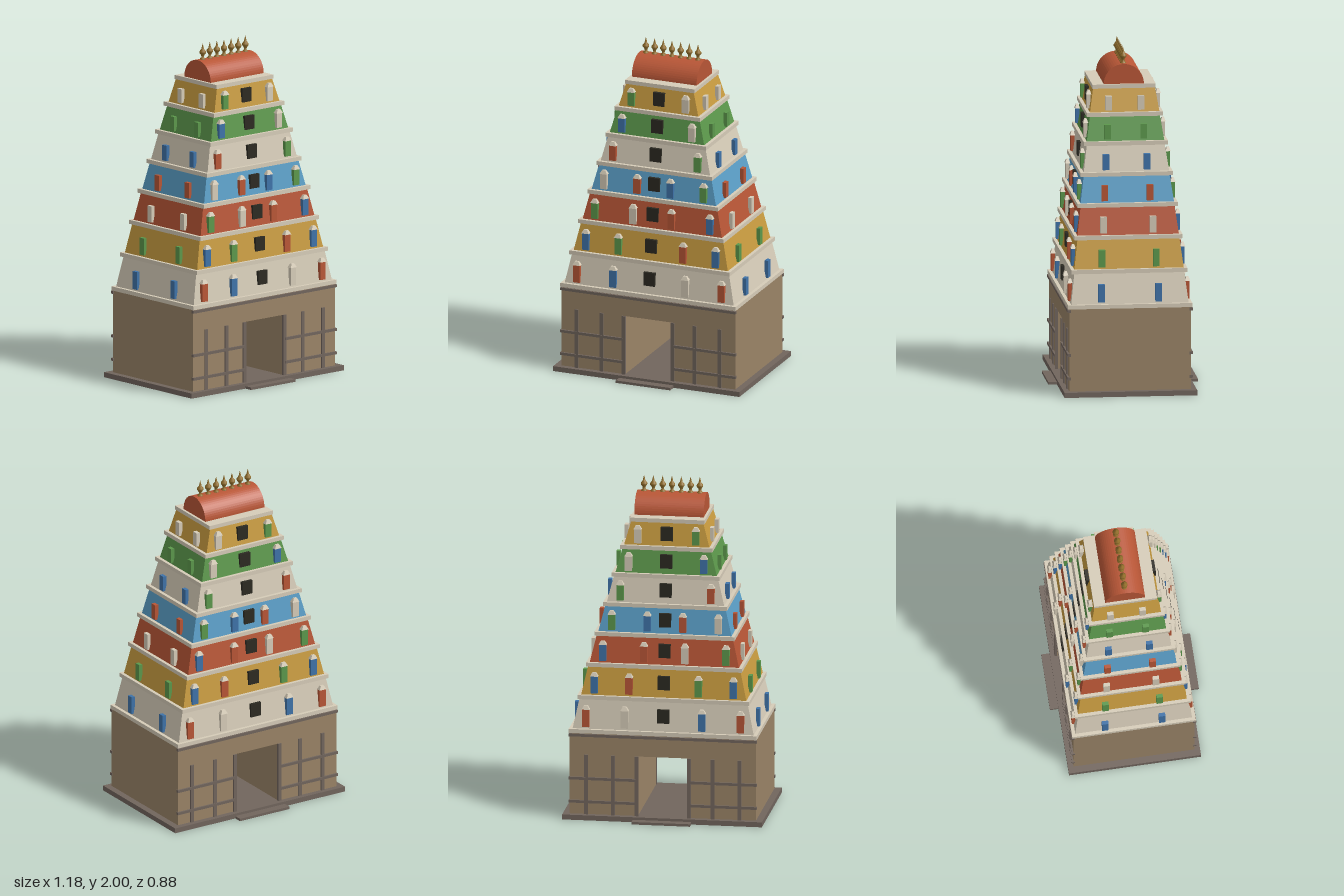
import * as THREE from 'three';

const mat = (name, color, extra = {}) => Object.assign(new THREE.MeshStandardMaterial({ color, ...extra }), { name });

export function createModel() {
  const root = new THREE.Group();
  root.name = 'gatewayTower';
  const M = {
    sandstone: mat('sandstone', 0x9a8467),
    trim: mat('darkTrim', 0x71655d),
    cream: mat('cream', 0xd6ccb8),
    gold: mat('ochre', 0xc99c40),
    red: mat('brickRed', 0xb85636),
    blue: mat('skyBlue', 0x5b9fc8),
    green: mat('leafGreen', 0x5c984c),
    dark: mat('windowDark', 0x2c2a22),
    deepBlue: mat('figureBlue', 0x3f73a9),
    brass: mat('brass', 0x94702c),
  };

  const add = (name, geo, material, x = 0, y = 0, z = 0, parent = root) => {
    const m = new THREE.Mesh(geo, material);
    m.name = name;
    m.position.set(x, y, z);
    parent.add(m);
    return m;
  };
  // Box standing on y = 0
  const slab = (w, h, d) => new THREE.BoxGeometry(w, h, d).translate(0, h / 2, 0);
  // Box standing on y = 0 whose top is scaled to tw x td
  const taper = (w, h, d, tw, td) => {
    const g = slab(w, h, d), p = g.attributes.position;
    for (let i = 0; i < p.count; i++) {
      if (p.getY(i) > h / 2) p.setXYZ(i, p.getX(i) * tw / w, h, p.getZ(i) * td / d);
    }
    g.computeVertexNormals();
    return g;
  };

  // Plinth and door steps
  add('plinth', slab(1.18, 0.03, 0.78), M.trim);
  add('doorStep', slab(0.345, 0.015, 0.88), M.trim);

  // Gate base with a passage running through it
  const wall = new THREE.Shape([
    [-0.55, 0.03], [-0.147, 0.03], [-0.147, 0.39], [0.147, 0.39],
    [0.147, 0.03], [0.55, 0.03], [0.55, 0.521], [-0.55, 0.521],
  ].map(([x, y]) => new THREE.Vector2(x, y)));
  add('gateBase', new THREE.ExtrudeGeometry(wall, { depth: 0.714, bevelEnabled: false }).translate(0, 0, -0.357), M.sandstone);

  // Pilasters, rails and top band on front and back
  for (const sz of [1, -1]) {
    for (const sx of [1, -1]) {
      for (const x of [0.155, 0.295, 0.453]) add('pilaster', slab(0.022, 0.36, 0.016), M.trim, sx * x, 0.03, sz * 0.357);
      for (const y of [0.098, 0.238]) add('rail', slab(0.395, 0.016, 0.02), M.trim, sx * 0.3575, y, sz * 0.358);
    }
    add('topBand', slab(1.11, 0.016, 0.02), M.trim, 0, 0.499, sz * 0.358);
  }

  // Storeys: wall colour, side figure colour and its z, then front figures as [x, colour]
  const levels = [0.543, 0.743, 0.935, 1.118, 1.293, 1.467, 1.63, 1.788];
  const { cream, gold, red, blue, green, deepBlue } = M;
  const tiers = [
    [cream, deepBlue, 0.168, [[-0.457, red], [-0.228, deepBlue], [0.228, cream], [0.457, red]]],
    [gold, green, 0.16, [[-0.411, deepBlue], [-0.205, green], [0.205, red], [0.411, deepBlue]]],
    [red, cream, 0.145, [[-0.364, green], [-0.121, cream], [0.121, red], [0.364, deepBlue]]],
    [blue, red, 0.133, [[-0.315, cream], [-0.105, red], [0.105, deepBlue], [0.315, green]]],
    [cream, deepBlue, 0.121, [[-0.268, red], [0.268, green]]],
    [green, green, 0.107, [[-0.222, deepBlue], [0.222, cream]]],
    [gold, cream, 0.095, [[-0.172, green], [0.172, cream]]],
  ];
  const cornice = (x, z, top) => add('cornice', slab(2 * x, 0.024, 2 * z), cream, 0, top - 0.024, 0);
  const cap = taper(0.047, 0.023, 0.03, 0.022, 0.014);

  tiers.forEach(([wallMat, sideMat, sideZ, figures], i) => {
    const tier = new THREE.Group();
    tier.name = 'storey' + (i + 1);
    root.add(tier);
    const x = 0.535 - 0.0472 * i, z = 0.345 - 0.0235 * i;
    const y = levels[i], step = levels[i + 1] - y, h = step - 0.022;
    cornice(x + 0.02, z + 0.02, y);
    add('storeyWall', taper(2 * x, h, 2 * z, 2 * (x - 0.038), 2 * (z - 0.022)), wallMat, 0, y, 0, tier);

    const figH = step * 0.53, figY = y + 0.012;
    for (const s of [1, -1]) {
      add('window', slab(0.071, 0.082, 0.02), M.dark, 0, y + step * 0.45 - 0.041, s * (z - 0.008), tier);
      for (const [fx, fm] of figures) {
        add('figure', slab(0.042, figH, 0.022), fm, fx, figY, s * z, tier);
        add('figureCap', cap, cream, fx, figY + figH, s * z, tier);
      }
      for (const t of [1, -1]) add('sideFigure', slab(0.022, figH, 0.038), sideMat, s * x, figY, t * sideZ, tier);
    }
  });
  cornice(0.22, 0.186, levels[7]);

  // Barrel roof
  const arc = new THREE.Shape();
  arc.absarc(0, 0, 0.118, 0, Math.PI, false);
  const roof = new THREE.ExtrudeGeometry(arc, { depth: 0.41, bevelEnabled: false, curveSegments: 14 });
  roof.translate(0, 0, -0.205).rotateY(Math.PI / 2);
  add('barrelRoof', roof, red, 0, levels[7] - 0.001, 0);

  // Row of finials on the ridge
  const profile = [[0, 0], [0.017, 0], [0.017, 0.008], [0.008, 0.016], [0.009, 0.028], [0.019, 0.042],
    [0.019, 0.052], [0.008, 0.066], [0.006, 0.076], [0, 0.1]].map(([r, y]) => new THREE.Vector2(r, y));
  const finial = new THREE.LatheGeometry(profile, 10);
  for (let i = -3; i <= 3; i++) add('finial', finial, M.brass, i * 0.055, 1.9, 0);

  return root;
}
